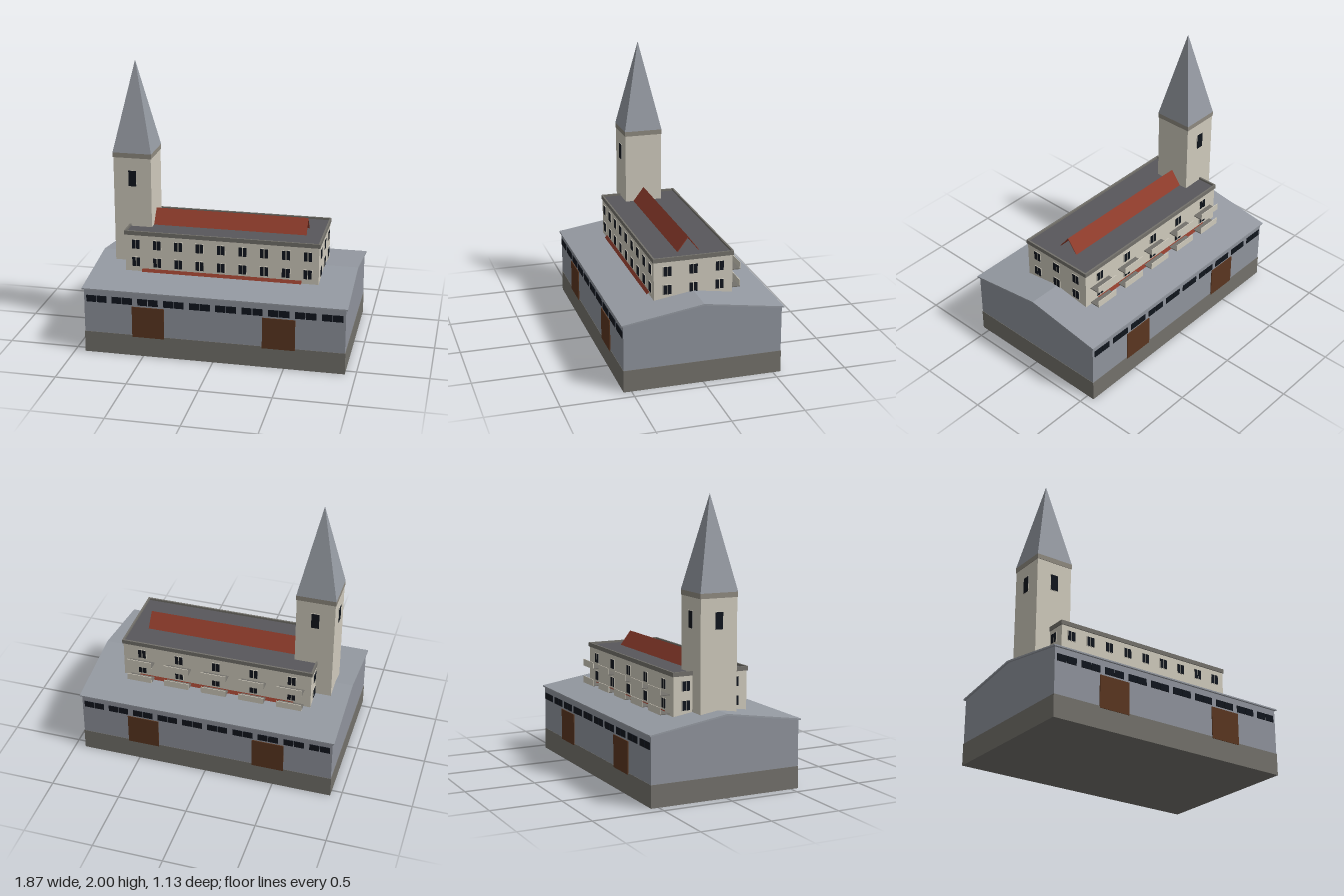
import * as THREE from 'three';

const mat = (color, side = THREE.FrontSide) =>
  new THREE.MeshStandardMaterial({ color, side, flatShading: true });

const M = {
  stone: mat(0x73716b),
  metal: mat(0x8f939c),
  roof: mat(0x959aa2),
  plaster: mat(0xcfcabc),
  deck: mat(0x58575b),
  tile: mat(0x8c3b2b, THREE.DoubleSide),
  wood: mat(0x5a3620),
  glass: mat(0x10151d),
  cornice: mat(0x8f8a80),
};

function add(parent, name, geometry, material, x = 0, y = 0, z = 0) {
  const mesh = new THREE.Mesh(geometry, material);
  mesh.name = name;
  mesh.position.set(x, y, z);
  parent.add(mesh);
  return mesh;
}

// Box given by its centre in x and z, and its bottom and top heights
function block(parent, name, material, w, d, y0, y1, x = 0, z = 0) {
  return add(parent, name, new THREE.BoxGeometry(w, y1 - y0, d), material, x, (y0 + y1) / 2, z);
}

// Profile in the z-y plane, drawn out along x and centred
function alongX(points, length) {
  const shape = new THREE.Shape(points.map(([z, y]) => new THREE.Vector2(-z, y)));
  const g = new THREE.ExtrudeGeometry(shape, { depth: length, bevelEnabled: false });
  return g.translate(0, 0, -length / 2).rotateY(Math.PI / 2);
}

// Framed window facing +z of its own group, with one or two panes
function windowUnit(name, w, h, panes) {
  const g = new THREE.Group();
  g.name = name;
  const gap = 0.006;
  const pw = (w - gap * (panes - 1)) / panes;
  add(g, 'frame', new THREE.BoxGeometry(w + 0.006, h + 0.006, 0.004), M.plaster);
  for (let i = 0; i < panes; i++) {
    add(g, 'pane', new THREE.BoxGeometry(pw, h, 0.008), M.glass, -w / 2 + pw / 2 + i * (pw + gap));
  }
  return g;
}

function place(parent, object, x, y, z, turn = 0) {
  object.position.set(x, y, z);
  object.rotation.y = turn;
  parent.add(object);
}

function createHall() {
  const hall = new THREE.Group();
  hall.name = 'hall';
  block(hall, 'plinth', M.stone, 1.85, 1.11, 0, 0.155);
  add(hall, 'hallWalls', alongX(
    [[-0.553, 0.155], [0.553, 0.155], [0.553, 0.475], [0, 0.56], [-0.553, 0.475]], 1.845), M.metal);
  add(hall, 'hallRoof', alongX(
    [[-0.567, 0.475], [0, 0.56], [0.567, 0.475], [0.567, 0.485], [0, 0.572], [-0.567, 0.485]], 1.87), M.roof);
  for (const s of [1, -1]) {
    const turn = s > 0 ? 0 : Math.PI;
    for (let i = 0; i < 10; i++) {
      const x = (i - 4.5) * 0.185;
      for (const dx of [-0.038, 0.038]) {
        const pane = new THREE.Mesh(new THREE.BoxGeometry(0.07, 0.048, 0.008), M.glass);
        pane.name = 'hallWindow';
        place(hall, pane, x + dx, 0.408, s * 0.554, turn);
      }
    }
    for (const x of [-0.462, 0.462]) block(hall, 'hallDoor', M.wood, 0.23, 0.01, 0.143, 0.37, x, s * 0.554);
  }
  return hall;
}

function createHouse() {
  const house = new THREE.Group();
  house.name = 'house';
  const W = 0.693, D = 0.278;
  block(house, 'houseWalls', M.plaster, W * 2, D * 2, 0.515, 0.802);
  block(house, 'flatRoof', M.deck, W * 2, D * 2, 0.802, 0.815);

  // Raised rim around the flat roof
  for (const s of [1, -1]) {
    block(house, 'parapet', M.stone, W * 2 + 0.014, 0.012, 0.8, 0.83, 0, s * (D + 0.001));
    block(house, 'parapet', M.stone, 0.012, D * 2 - 0.01, 0.8, 0.83, s * (W + 0.001), 0);
  }

  // Steep tiled roof whose eaves come out again low on the long walls
  add(house, 'tiledRoof', alongX(
    [[-0.294, 0.53], [-0.288, 0.53], [0, 0.91], [0.288, 0.53], [0.294, 0.53], [0, 0.918]], 1.145), M.tile);

  for (const y of [0.6, 0.732]) {
    const make = () => windowUnit('houseWindow', 0.056, 0.066, 2);
    for (let i = 0; i < 9; i++) place(house, make(), (i - 4) * 0.154, y, D + 0.002);
    for (let i = 0; i < 5; i++) place(house, make(), (i - 2) * 0.277, y, -D - 0.002, Math.PI);
    for (const z of [-0.185, 0, 0.185]) {
      for (const s of [1, -1]) place(house, make(), s * (W + 0.002), y, z, s * Math.PI / 2);
    }
  }

  // Balconies at the back: a slab and a front panel
  for (const y of [0.54, 0.668]) {
    for (let i = 0; i < 5; i++) {
      const x = (i - 2) * 0.277;
      block(house, 'balconyFloor', M.stone, 0.183, 0.074, y, y + 0.006, x, -0.315);
      block(house, 'balconyRail', M.plaster, 0.183, 0.005, y, y + 0.05, x, -0.35);
    }
  }
  return house;
}

function createTower() {
  const tower = new THREE.Group();
  tower.name = 'tower';
  tower.position.x = -0.671;
  block(tower, 'towerWalls', M.plaster, 0.273, 0.273, 0.545, 1.325);
  block(tower, 'towerCornice', M.cornice, 0.281, 0.281, 1.322, 1.357);
  const spire = new THREE.ConeGeometry(0.1405 * Math.SQRT2, 0.643, 4).rotateY(Math.PI / 4);
  add(tower, 'spire', spire, M.roof, 0, 1.6785, 0);
  // Windows on the front, left-hand outer face and back
  for (const a of [0, -Math.PI / 2, Math.PI]) {
    place(tower, windowUnit('towerWindow', 0.056, 0.115, 1),
      Math.sin(a) * 0.138, 1.172, Math.cos(a) * 0.138, a);
  }
  return tower;
}

export function createModel() {
  const model = new THREE.Group();
  model.name = 'building';
  model.add(createHall(), createHouse(), createTower());
  return model;
}
